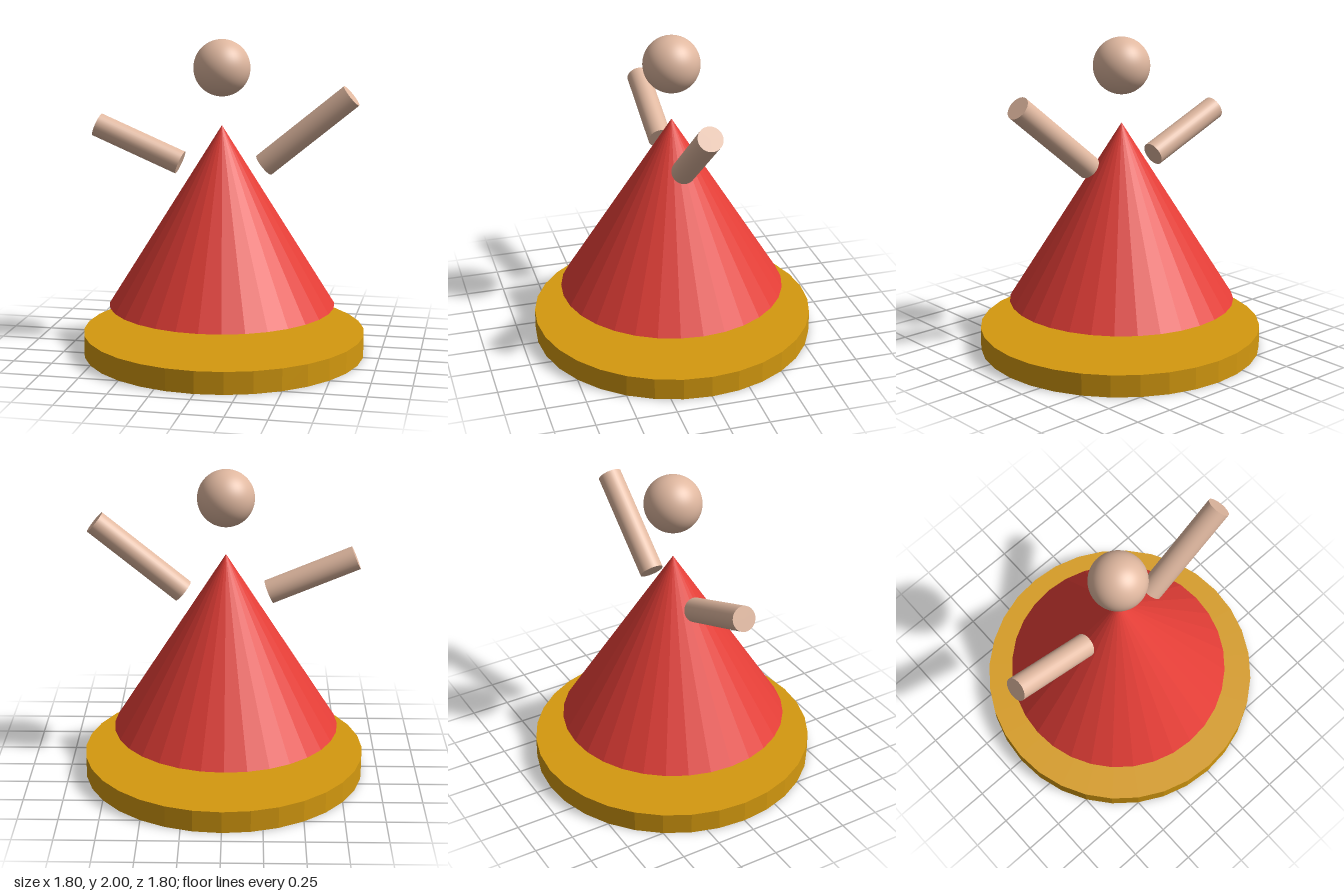
import * as THREE from 'three';

function material(name, color, flatShading = false) {
  const m = new THREE.MeshStandardMaterial({ color, flatShading });
  m.name = name;
  return m;
}

export function createModel() {
  const group = new THREE.Group();
  group.name = 'figure';
  const gold = material('gold', 0xd4990f, true);
  const red = material('red', 0xe53e37, true);
  const skin = material('skin', 0xe0b8a0);

  function add(name, geometry, mat, x, y) {
    const mesh = new THREE.Mesh(geometry, mat);
    mesh.name = name;
    mesh.position.set(x, y, 0);
    group.add(mesh);
    return mesh;
  }

  // Faceted round stand
  add('base', new THREE.CylinderGeometry(0.9, 0.9, 0.14, 32), gold, 0, 0.07);

  // Floating cone body and head, set slightly off the stand's axis
  add('body', new THREE.ConeGeometry(0.72, 1.15, 32), red, -0.013, 0.312 + 1.15 / 2);
  add('head', new THREE.SphereGeometry(0.178, 48, 32), skin, -0.013, 1.822);

  // Arms: plain cylinders running from shoulder to hand
  function arm(name, shoulder, hand) {
    const along = hand.clone().sub(shoulder);
    const mid = shoulder.clone().add(hand).multiplyScalar(0.5);
    const mesh = add(name, new THREE.CylinderGeometry(0.076, 0.076, along.length(), 32), skin, mid.x, mid.y);
    mesh.rotation.z = Math.atan2(-along.x, along.y);
  }
  arm('leftArm', new THREE.Vector2(0.256, 1.217), new THREE.Vector2(0.799, 1.666));
  arm('rightArm', new THREE.Vector2(-0.283, 1.215), new THREE.Vector2(-0.823, 1.443));

  return group;
}
